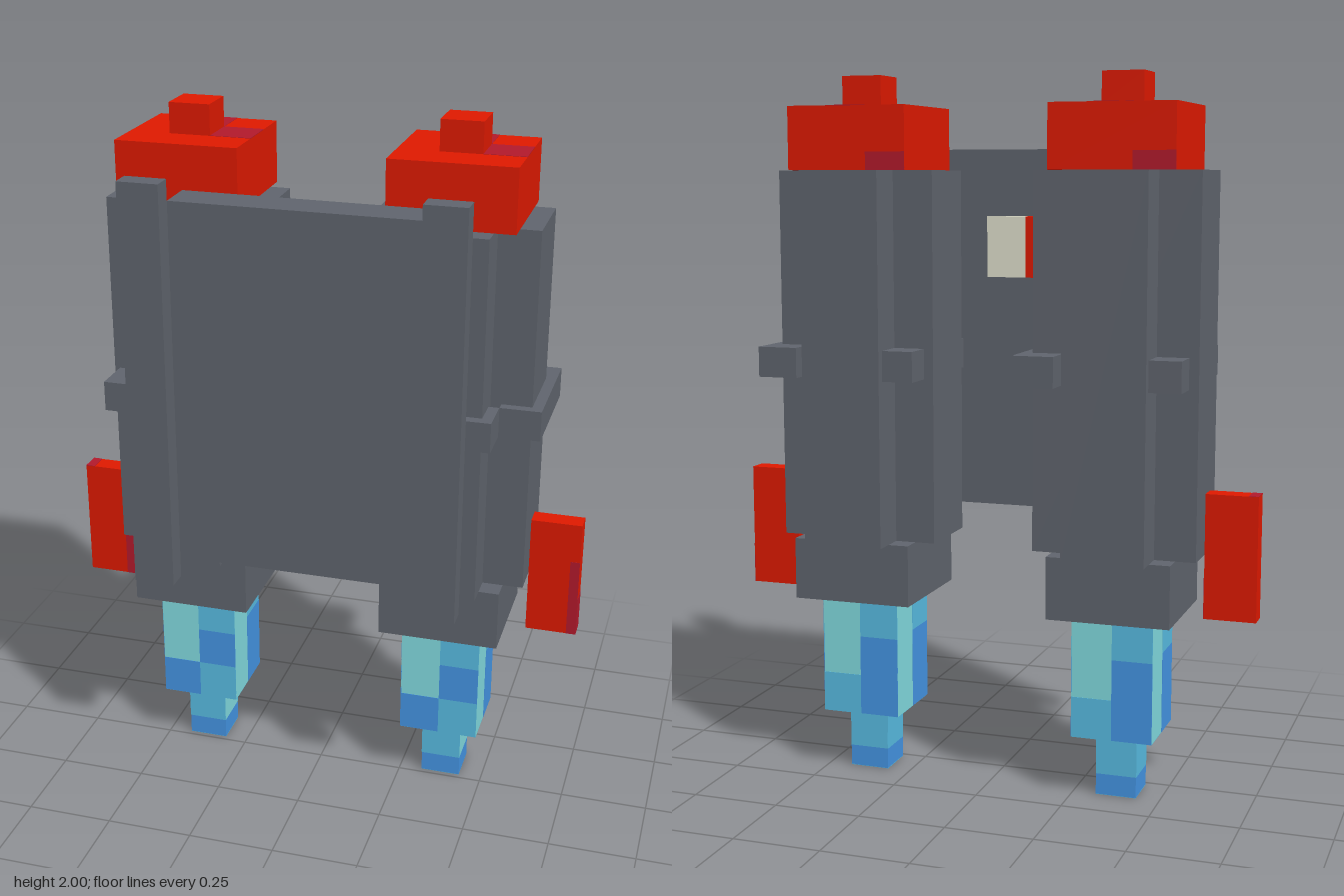
import * as THREE from 'three';

const paint = (name, color) => {
  const m = new THREE.MeshStandardMaterial({ color });
  m.name = name;
  return m;
};

export function createModel() {
  const grey = paint('grey', 0x61666f), red = paint('red', 0xe21a00), darkRed = paint('dark red', 0xb51a2c);
  const teal = paint('teal', 0x84dfe4), cyan = paint('cyan', 0x5abfe6), blue = paint('blue', 0x4698e8);
  const cream = paint('cream', 0xe4e4d0);

  // Box given by its limits; a zero-depth range becomes a thin painted plate
  const box = (parent, name, mat, [x0, x1], [y0, y1], [z0, z1]) => {
    const size = [x1 - x0, y1 - y0, z1 - z0].map((s) => Math.max(s, 0.002));
    const mesh = new THREE.Mesh(new THREE.BoxGeometry(...size), mat);
    mesh.position.set((x0 + x1) / 2, (y0 + y1) / 2, (z0 + z1) / 2);
    mesh.name = name;
    parent.add(mesh);
  };
  const sym = (h) => [-h, h];

  const model = new THREE.Group();
  model.name = 'jetpack';

  // One rocket, centred on its own axis
  const makeRocket = () => {
    const g = new THREE.Group();
    g.name = 'rocket';

    // Cross-shaped tank and base
    box(g, 'tankWide', grey, sym(0.23), [0.7, 1.74], sym(0.115));
    box(g, 'tankDeep', grey, sym(0.115), [0.7, 1.74], sym(0.23));
    box(g, 'base', grey, sym(0.173), [0.525, 0.7], sym(0.173));

    // Clamps around the tank
    const band = [1.165, 1.25];
    box(g, 'sideClamp', grey, [0.145, 0.26], band, [-0.205, 0.143]);
    box(g, 'frontClamp', grey, [-0.203, 0.145], band, [0.143, 0.26]);
    box(g, 'cornerClamp', grey, [-0.203, -0.088], band, [-0.205, -0.09]);

    // Nose cap with darker patches
    box(g, 'noseCap', red, sym(0.173), [1.74, 1.915], sym(0.173));
    box(g, 'noseTip', red, sym(0.058), [1.915, 2], sym(0.058));
    box(g, 'capPatch', darkRed, sym(0.058), [1.915, 1.915], [-0.173, -0.058]);
    box(g, 'capPatch', darkRed, [0.058, 0.173], [1.915, 1.915], sym(0.058));
    box(g, 'capPatch', darkRed, [-0.173, -0.058], [1.74, 1.79], [-0.173, -0.173]);

    // Flame, with coloured cells: [left half?, bottom, top, colour] per side
    const r = 0.115;
    box(g, 'flame', teal, sym(r), [0.18, 0.525], sym(r));
    box(g, 'flameBottom', cyan, sym(r), [0.18, 0.18], sym(r));
    const flank = [[0, 0.41, 0.525, cyan], [0, 0.18, 0.41, blue]];
    const sides = [
      [[1, 0.18, 0.295, blue], [0, 0.41, 0.525, cyan], [0, 0.295, 0.41, blue], [0, 0.18, 0.295, cyan]],
      flank,
      [[1, 0.18, 0.295, cyan], ...flank],
      flank,
    ];
    sides.forEach((cells, i) => {
      const side = new THREE.Group();
      side.name = 'flameSide';
      side.rotation.y = (i * Math.PI) / 2;
      for (const [isLeft, y0, y1, mat] of cells) {
        box(side, 'flameCell', mat, isLeft ? [-r, 0] : [0, r], [y0, y1], [r, r]);
      }
      // Lower flame face above the blue tip
      if (i !== 1) box(side, 'flameTipCell', cyan, sym(0.058), [0.06, 0.18], [0.058, 0.058]);
      g.add(side);
    });
    box(g, 'lowerFlame', teal, sym(0.058), [0.06, 0.18], sym(0.058));
    box(g, 'flameTip', blue, sym(0.058), [0, 0.06], sym(0.058));
    box(g, 'flameTipBottom', cyan, sym(0.058), [0, 0], sym(0.058));
    return g;
  };

  for (const x of [-0.375, 0.375]) {
    const rocket = makeRocket();
    rocket.position.set(x, 0, -0.073);
    model.add(rocket);
  }

  // Side fins with darker patches
  for (const x of [-0.755, 0.607]) {
    const e = x + 0.145;
    box(model, 'fin', red, [x, e], [0.525, 0.873], [-0.102, -0.044]);
    box(model, 'finEdge', darkRed, [e - 0.027, e], [0.525, 0.757], [-0.044, -0.044]);
    box(model, 'finPatch', darkRed, [e, e], [0.525, 0.64], [-0.102, -0.044]);
  }
  box(model, 'finPatch', darkRed, [-0.755, -0.728], [0.873, 0.873], [-0.102, -0.044]);

  // Plate joining the rockets, with two straps
  box(model, 'plate', grey, sym(0.347), [0.76, 1.8], [0.13, 0.243]);
  box(model, 'strap', grey, [-0.463, -0.347], [0.7, 1.858], [0.243, 0.303]);
  box(model, 'strap', grey, [0.347, 0.463], [0.7, 1.858], [0.243, 0.303]);

  // Small panel behind the plate
  box(model, 'panelRed', red, [-0.088, -0.03], [1.435, 1.61], [0.1, 0.13]);
  box(model, 'panelCream', cream, [-0.03, 0.086], [1.435, 1.61], [0.1, 0.13]);

  return model;
}
